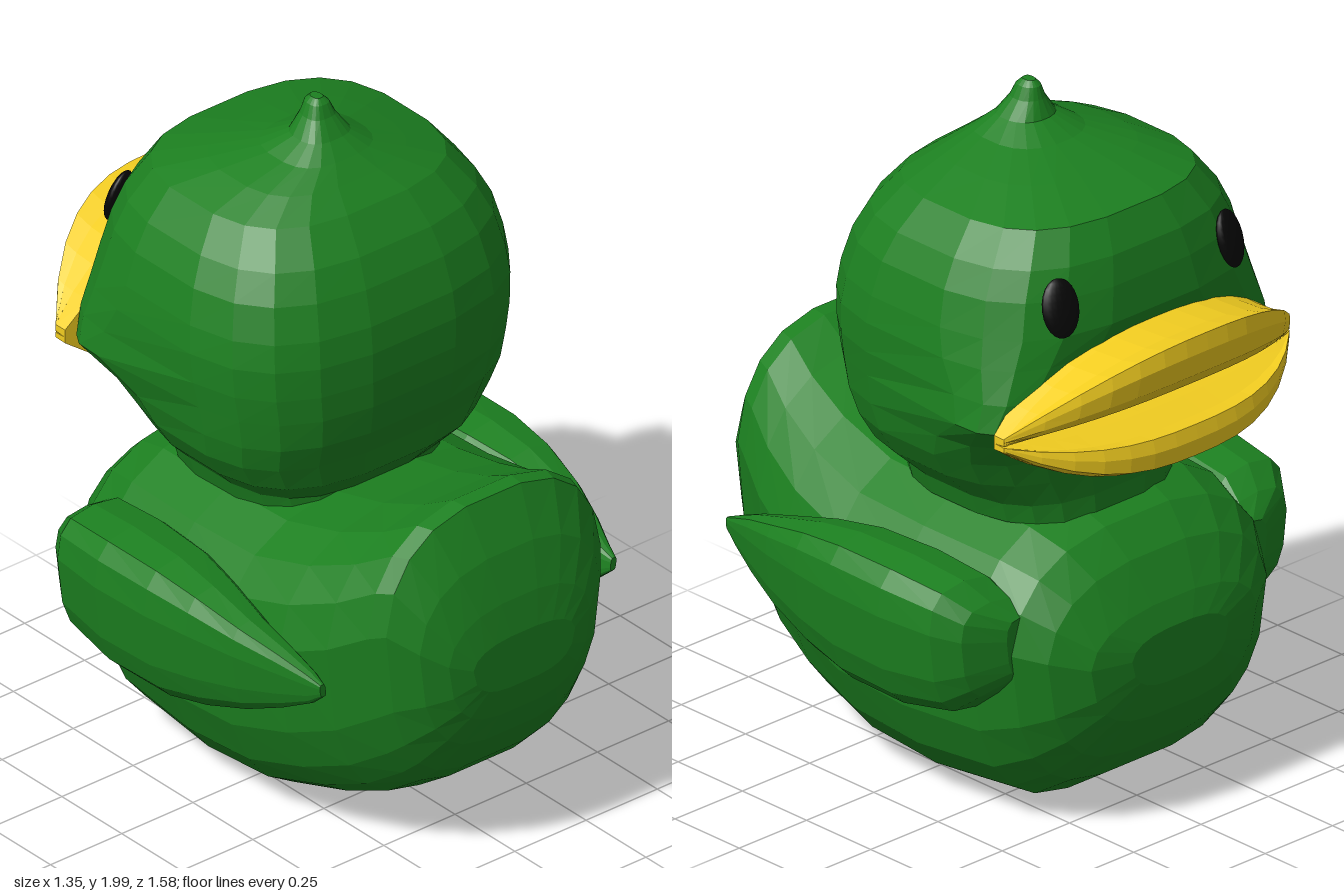
import * as THREE from 'three';

const green = new THREE.MeshStandardMaterial({ color: 0x1c8020, flatShading: true });
const yellow = new THREE.MeshStandardMaterial({ color: 0xf2cd20, flatShading: true });
const black = new THREE.MeshStandardMaterial({ color: 0x060606 });

// Skin a list of equal rings and close both ends with fans
function loft(rings) {
  const n = rings[0].length, pos = rings.flat(2), idx = [];
  for (let i = 0; i < rings.length - 1; i++) {
    for (let j = 0; j < n; j++) {
      const a = i * n + j, b = i * n + (j + 1) % n;
      idx.push(a, b, b + n, a, b + n, a + n);
    }
  }
  [0, rings.length - 1].forEach((r, end) => {
    const centre = [0, 1, 2].map(k => rings[r].reduce((s, p) => s + p[k], 0) / n);
    const c = pos.length / 3;
    pos.push(...centre);
    for (let j = 0; j < n; j++) {
      const a = r * n + j, b = r * n + (j + 1) % n;
      end ? idx.push(c, a, b) : idx.push(c, b, a);
    }
  });
  const g = new THREE.BufferGeometry();
  g.setAttribute('position', new THREE.Float32BufferAttribute(pos, 3));
  g.setIndex(idx);
  g.computeVertexNormals();
  return g;
}

// Rounded-square outline with unit radii; each half has its own squareness
function outline(sides, upper, lower = upper) {
  return Array.from({ length: sides }, (_, j) => {
    const a = (j + 0.5) / sides * Math.PI * 2;
    const f = v => Math.sign(v) * Math.abs(v) ** (2 / (Math.sin(a) > 0 ? upper : lower));
    return [f(Math.cos(a)), f(Math.sin(a))];
  });
}

export function createModel() {
  const model = new THREE.Group();
  const add = (name, geometry, material) => {
    const mesh = new THREE.Mesh(geometry, material);
    mesh.name = name;
    model.add(mesh);
    return mesh;
  };

  // Body, sliced from chest to tail: z, bottom, top, half width
  const body = [
    [-0.67, 0.42, 0.58, 0.18], [-0.645, 0.32, 0.65, 0.31], [-0.58, 0.2, 0.77, 0.41],
    [-0.5, 0.11, 0.85, 0.47], [-0.38, 0.03, 0.895, 0.51], [-0.1, 0.003, 0.91, 0.53],
    [0.15, 0.025, 0.92, 0.53], [0.35, 0.085, 0.97, 0.5], [0.5, 0.145, 1.03, 0.455],
    [0.61, 0.22, 1.09, 0.405], [0.66, 0.27, 1.09, 0.38], [0.73, 0.38, 0.95, 0.32],
    [0.77, 0.47, 0.82, 0.25], [0.79, 0.56, 0.72, 0.18]
  ];
  const bodyShape = outline(20, 2.7, 3.5);
  add('body', loft(body.map(([z, lo, hi, w]) => bodyShape.map(([c, s]) =>
    [c * w * (1 + 0.2 * Math.min(0, s)), (lo + hi) / 2 + s * (hi - lo) / 2, z]))), green);

  // Head with neck and tuft: y, back z, face z, half width, cheek flare, face squareness
  const head = [
    [0.86, 0.18, -0.45, 0.32, 0, 2.9], [0.92, 0.18, -0.45, 0.34, 0, 2.9], [1.0, 0.25, -0.46, 0.42, 0, 2.9],
    [1.08, 0.27, -0.475, 0.47, 0, 3], [1.16, 0.3, -0.49, 0.49, 0.02, 4], [1.25, 0.315, -0.525, 0.505, 0.055, 8],
    [1.33, 0.32, -0.555, 0.52, 0.02, 6], [1.42, 0.32, -0.575, 0.525, 0.005, 4], [1.5, 0.31, -0.59, 0.515, 0, 3.2],
    [1.6, 0.28, -0.575, 0.49, 0, 3], [1.68, 0.24, -0.555, 0.45, 0, 2.9], [1.77, 0.165, -0.505, 0.38, 0, 2.8],
    [1.82, 0.1, -0.35, 0.26, 0, 2.6], [1.86, 0.05, -0.22, 0.145, 0, 2.4], [1.9, 0.005, -0.145, 0.08, 0, 2.2],
    [1.95, -0.03, -0.125, 0.045, 0, 2], [1.985, -0.045, -0.115, 0.03, 0, 2], [2.0, -0.06, -0.1, 0.015, 0, 2]
  ];
  add('head', loft(head.map(([y, back, face, w, flare, square]) =>
    outline(20, square, 2.9).map(([c, s]) => [
      c * (w + flare * Math.max(0, s)) + (y < 1.8 ? 0.012 : 0), y, (back + face) / 2 - s * (back - face) / 2
    ]))), green);

  // Bill halves, swept across the face; sections shrink toward the mouth corners
  const bill = (tipZ, section) => {
    const rings = [];
    for (let i = 0; i <= 14; i++) {
      const t = 1 - i / 7, a = Math.abs(t), k = 1 - 0.9 * a ** 2.6;
      const reach = (1 - a ** 2.7) * (-0.55 - tipZ);
      rings.push(section.map(([y, out]) => [
        0.53 * t + 0.01, 1.24 + (y - 1.24) * k, out < 0 ? -0.46 - 0.05 * a : -0.55 - reach * out
      ]));
    }
    return loft(rings);
  };
  add('upperBill', bill(-0.79, [
    [1.47, -1], [1.465, 0.2], [1.472, 0.65], [1.49, 0.97], [1.44, 1], [1.37, 0.93], [1.31, 0.68], [1.265, 0.3], [1.235, -1]
  ]), yellow);
  add('lowerBill', bill(-0.75, [
    [1.24, -1], [1.215, 0.3], [1.195, 0.7], [1.2, 0.95], [1.16, 1], [1.11, 0.97], [1.08, 0.65], [1.065, 0.2], [1.055, -1]
  ]), yellow);

  // Wing slices: z, bottom, top, inner x, outer x
  const wing = [
    [-0.5, 0.5, 0.68, 0.36, 0.48], [-0.45, 0.45, 0.73, 0.36, 0.6], [-0.38, 0.39, 0.78, 0.36, 0.65],
    [-0.2, 0.355, 0.8, 0.36, 0.67], [0, 0.36, 0.8, 0.38, 0.665], [0.15, 0.4, 0.78, 0.42, 0.645],
    [0.3, 0.455, 0.74, 0.46, 0.61], [0.42, 0.51, 0.7, 0.475, 0.57], [0.51, 0.56, 0.66, 0.485, 0.535],
    [0.555, 0.6, 0.64, 0.5, 0.52]
  ];
  const wingShape = outline(14, 3);
  for (const side of [1, -1]) {
    const label = side > 0 ? 'left' : 'right';
    add(label + 'Wing', loft(wing.map(([z, lo, hi, xi, xo]) => wingShape.map(([c, s]) => {
      const dy = s * (hi - lo) / 2;
      return [side * ((xi + xo) / 2 + 0.12 * dy) + c * (xo - xi) / 2, (lo + hi) / 2 + dy, z];
    }))), green);

    // Eye: flat oval pressed against the face
    const eye = add(label + 'Eye', new THREE.SphereGeometry(1, 20, 12), black);
    eye.scale.set(0.055, 0.083, 0.022);
    eye.position.set(side * 0.315 + 0.014, 1.585, -0.548);
    eye.rotation.set(0.28, -side * 0.3, 0, 'YXZ');
  }
  return model;
}
